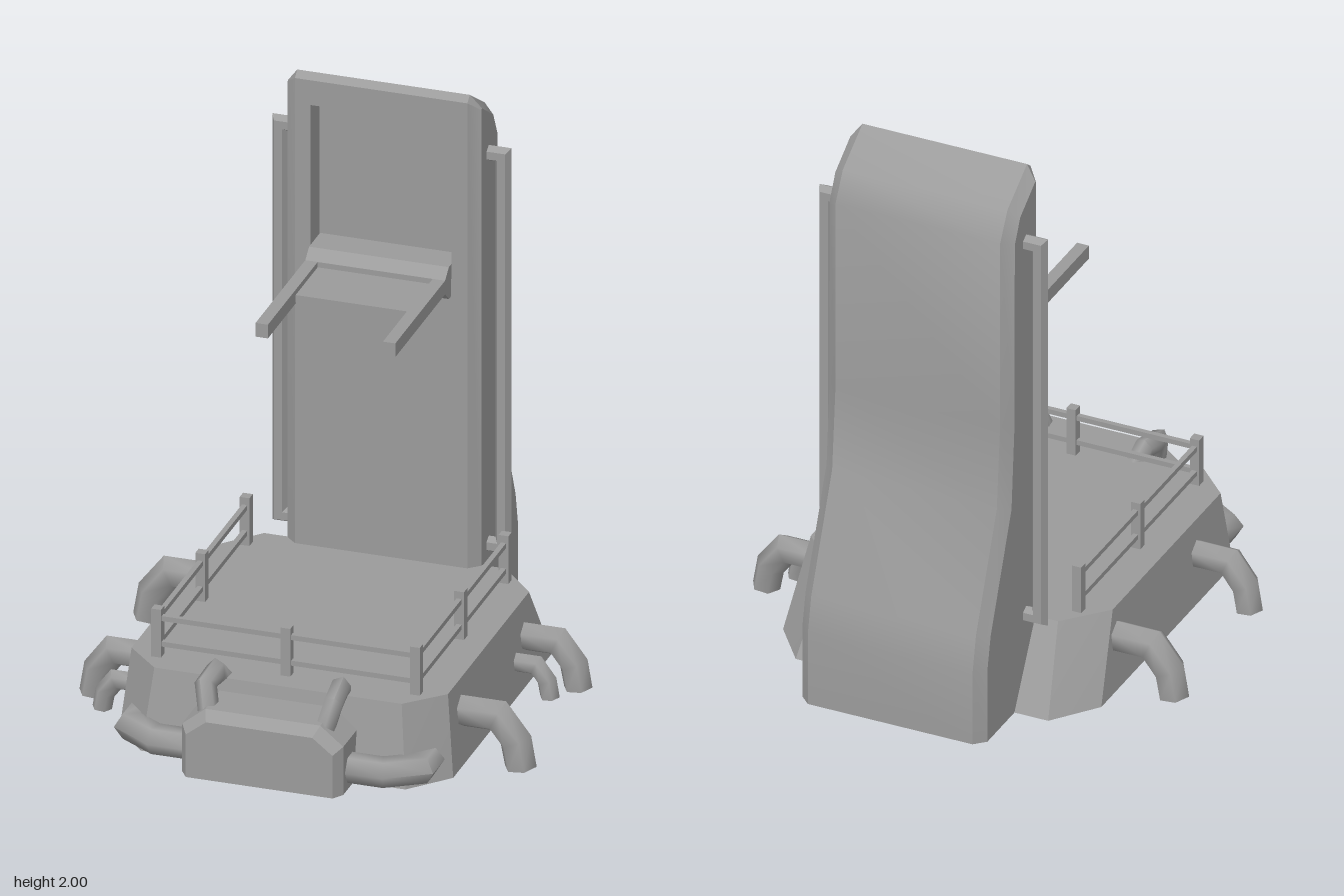
import * as THREE from 'three';
import { toCreasedNormals } from 'three/addons/utils/BufferGeometryUtils.js';

const mat = new THREE.MeshStandardMaterial({ color: 0x9b9b9b, side: THREE.DoubleSide });
const V = (x, y, z) => new THREE.Vector3(x, y, z);

function add(parent, name, geo) {
  const mesh = new THREE.Mesh(geo, mat);
  mesh.name = name;
  parent.add(mesh);
  return mesh;
}

function box(parent, name, x0, x1, y0, y1, z0, z1) {
  const geo = new THREE.BoxGeometry(x1 - x0, y1 - y0, z1 - z0);
  geo.translate((x0 + x1) / 2, (y0 + y1) / 2, (z0 + z1) / 2);
  return add(parent, name, geo);
}

// Skin a list of equal-length cross-sections with quads
function loft(rings, closed = false, crease = 0.6) {
  const pos = [];
  for (let i = 0; i < rings.length - 1; i++) {
    const n = rings[i].length;
    for (let j = 0; j < (closed ? n : n - 1); j++) {
      const k = (j + 1) % n;
      const [a, b, c, d] = [rings[i][j], rings[i][k], rings[i + 1][k], rings[i + 1][j]];
      for (const p of [a, b, c, a, c, d]) pos.push(p.x, p.y, p.z);
    }
  }
  const geo = new THREE.BufferGeometry();
  geo.setAttribute('position', new THREE.Float32BufferAttribute(pos, 3));
  geo.computeVertexNormals();
  return toCreasedNormals(geo, crease);
}

const flatShape = (pts) => new THREE.Shape(pts.map(([a, b]) => new THREE.Vector2(a, b)));

// Six-sided pipe with mitred bends and capped ends, cut off at the ground
function pipe(parent, name, pts, r, crease = 1.3) {
  const dirs = pts.slice(1).map((p, i) => p.clone().sub(pts[i]).normalize());
  const B = dirs[0].clone().cross(dirs[1]).normalize();
  const rings = pts.map((p, i) => {
    const before = dirs[Math.max(i - 1, 0)], after = dirs[Math.min(i, dirs.length - 1)];
    const T = before.clone().add(after).normalize();
    const N = B.clone().cross(T).normalize().divideScalar(T.dot(after));
    return Array.from({ length: 6 }, (_, j) => {
      const a = (j * Math.PI) / 3;
      const q = p.clone().addScaledVector(N, r * Math.cos(a)).addScaledVector(B, r * Math.sin(a));
      q.y = Math.max(q.y, 0);
      return q;
    });
  });
  const cap = (p) => Array(6).fill(p);
  return add(parent, name, loft([cap(pts[0]), ...rings, cap(pts[pts.length - 1])], true, crease));
}

function createBase() {
  const g = new THREE.Group();
  g.name = 'base';
  // Right half from front to back, mirrored into an octagon
  const ring = (half, y) => {
    const left = half.map(([x, z]) => [-x, z]).reverse();
    return [...half, ...left].map(([x, z]) => V(x, y, z));
  };
  const top = [[0.43, 0.65], [0.55, 0.53], [0.55, -0.295], [0.42, -0.44]];
  const bottom = [[0.46, 0.7], [0.58, 0.565], [0.58, -0.445], [0.46, -0.6]];
  add(g, 'baseWalls', loft([ring(bottom, 0), ring(top, 0.285)], true, 0.2));
  const deck = new THREE.ShapeGeometry(flatShape(ring(top, 0).map((p) => [p.x, -p.z])));
  deck.rotateX(-Math.PI / 2);
  deck.translate(0, 0.285, 0);
  add(g, 'deck', deck);
  return g;
}

function createTower() {
  const g = new THREE.Group();
  g.name = 'tower';
  // Side profiles as [z, y], up the front, over the top and down the back
  const outer = [[-0.4, 0], [-0.4, 1.98], [-0.425, 2], [-0.575, 1.905], [-0.632, 1.805],
    [-0.632, 1.1], [-0.657, 0.8], [-0.817, 0.4], [-0.843, 0.27], [-0.843, 0]];
  const inner = [[-0.435, 0], [-0.435, 1.945], [-0.44, 1.95], [-0.555, 1.875], [-0.597, 1.79],
    [-0.599, 1.1], [-0.622, 0.79], [-0.782, 0.39], [-0.807, 0.27], [-0.807, 0]];
  const at = (prof, x) => prof.map(([z, y]) => V(x, y, z));
  const W = 0.337;
  add(g, 'towerShell', loft([at(outer.slice(1), 0.3), at(outer.slice(1), -0.3)]));
  add(g, 'leftBevel', loft([at(inner, W), at(outer, 0.3)]));
  add(g, 'rightBevel', loft([at(outer, -0.3), at(inner, -W)]));
  for (const s of [1, -1]) {
    const side = new THREE.ShapeGeometry(flatShape(inner.map(([z, y]) => [s * -z, y])));
    side.rotateY(s * Math.PI / 2);
    side.translate(s * W, 0, 0);
    add(g, s > 0 ? 'leftSide' : 'rightSide', side);
  }
  // Front panel with a recessed niche
  const front = flatShape([[-0.3, 0], [0.3, 0], [0.3, 1.98], [-0.3, 1.98]]);
  const niche = [[-0.245, 1.33], [-0.245, 1.89], [0.245, 1.89], [0.245, 1.33]];
  front.holes.push(new THREE.Path(niche.map(([x, y]) => new THREE.Vector2(x, y))));
  const panel = new THREE.ShapeGeometry(front);
  panel.translate(0, 0, -0.4);
  add(g, 'frontPanel', panel);
  const nicheAt = (z) => niche.map(([x, y]) => V(x, y, z));
  add(g, 'nicheWalls', loft([nicheAt(-0.4), nicheAt(-0.49)], true));
  const back = new THREE.PlaneGeometry(0.49, 0.56);
  back.translate(0, 1.61, -0.49);
  add(g, 'nicheBack', back);
  // Bracket-shaped side rails
  for (const s of [1, -1]) {
    const path = [[0.32, 1.757], [0.388, 1.757], [0.388, 0.333], [0.32, 0.333]];
    pipe(g, 'sideRail', path.map(([x, y]) => V(s * x, y, -0.51)), 0.028, 0.3);
  }
  return g;
}

function createFork() {
  const g = new THREE.Group();
  g.name = 'liftingFork';
  const rect = (y0, y1, z) => [V(-0.243, y0, z), V(0.243, y0, z), V(0.243, y1, z), V(-0.243, y1, z)];
  add(g, 'forkMount', loft([rect(1.268, 1.384, -0.49), rect(1.268, 1.384, -0.378),
    rect(1.302, 1.352, -0.34)], true, 0.2));
  box(g, 'forkMountFace', -0.243, 0.243, 1.302, 1.352, -0.36, -0.339);
  box(g, 'forkPlate', -0.2, 0.2, 1.306, 1.333, -0.35, -0.115);
  for (const x of [-0.2215, 0.2215])
    box(g, 'forkArm', x - 0.0215, x + 0.0215, 1.302, 1.352, -0.35, 0.167);
  return g;
}

function createRailing() {
  const g = new THREE.Group();
  g.name = 'railing';
  const X = 0.45, posts = [[0, 0.557]];
  for (const z of [-0.345, 0.107, 0.557]) posts.push([-X, z], [X, z]);
  for (const [x, z] of posts)
    box(g, 'railingPost', x - 0.017, x + 0.017, 0.286, 0.46, z - 0.017, z + 0.017);
  for (const y of [0.332, 0.425]) {
    const r = 0.009;
    box(g, 'frontRailing', -X, X, y - r, y + r, 0.557 - r, 0.557 + r);
    for (const x of [-X, X]) box(g, 'sideRailing', x - r, x + r, y - r, y + r, -0.345, 0.557);
  }
  return g;
}

function createFrontUnit() {
  const g = new THREE.Group();
  g.name = 'frontUnit';
  // Chamfered housing, stepped in at its front
  const ring = (w, tw, sh, h, z) => [V(w, 0, z), V(w, sh, z), V(tw, h, z),
    V(-tw, h, z), V(-w, sh, z), V(-w, 0, z)];
  const rings = [ring(0.28, 0.2, 0.175, 0.24, 0.61), ring(0.28, 0.2, 0.175, 0.24, 0.805),
    ring(0.255, 0.185, 0.155, 0.21, 0.843)];
  add(g, 'housing', loft(rings, false, 0.2));
  for (const i of [0, 2]) {
    const cap = new THREE.ShapeGeometry(flatShape(rings[i].map((p) => [p.x, p.y])));
    cap.translate(0, 0, rings[i][0].z);
    add(g, i ? 'housingFront' : 'housingBack', cap);
  }
  for (const s of [1, -1]) {
    pipe(g, 'upperHose', [V(s * 0.2, 0.2, 0.765), V(s * 0.222, 0.293, 0.735),
      V(s * 0.215, 0.308, 0.65), V(s * 0.2, 0.25, 0.6)], 0.036);
    pipe(g, 'lowerHose', [V(s * 0.25, 0.07, 0.737), V(s * 0.395, 0.07, 0.737),
      V(s * 0.503, 0.07, 0.668), V(s * 0.503, 0.07, 0.56)], 0.052);
  }
  return g;
}

function createSidePipes() {
  const g = new THREE.Group();
  g.name = 'sidePipes';
  // side, z, reach, top height, radius
  const list = [[-1, -0.275, 0.82, 0.232, 0.056], [-1, 0.33, 0.8, 0.215, 0.05],
    [-1, 0.43, 0.72, 0.145, 0.034], [1, -0.22, 0.797, 0.21, 0.05],
    [1, -0.12, 0.717, 0.145, 0.034], [1, 0.415, 0.82, 0.232, 0.056]];
  for (const [s, z, reach, top, r] of list) {
    const e = reach - r, h = top - r;
    pipe(g, 'sidePipe', [V(s * 0.555, h, z), V(s * (e - 1.4 * r), h, z),
      V(s * (e - 0.3 * r), h * 0.55, z), V(s * e, 0, z)], r);
  }
  return g;
}

export function createModel() {
  const model = new THREE.Group();
  model.name = 'liftStation';
  model.add(createBase(), createTower(), createFork(), createRailing(),
    createFrontUnit(), createSidePipes());
  return model;
}
